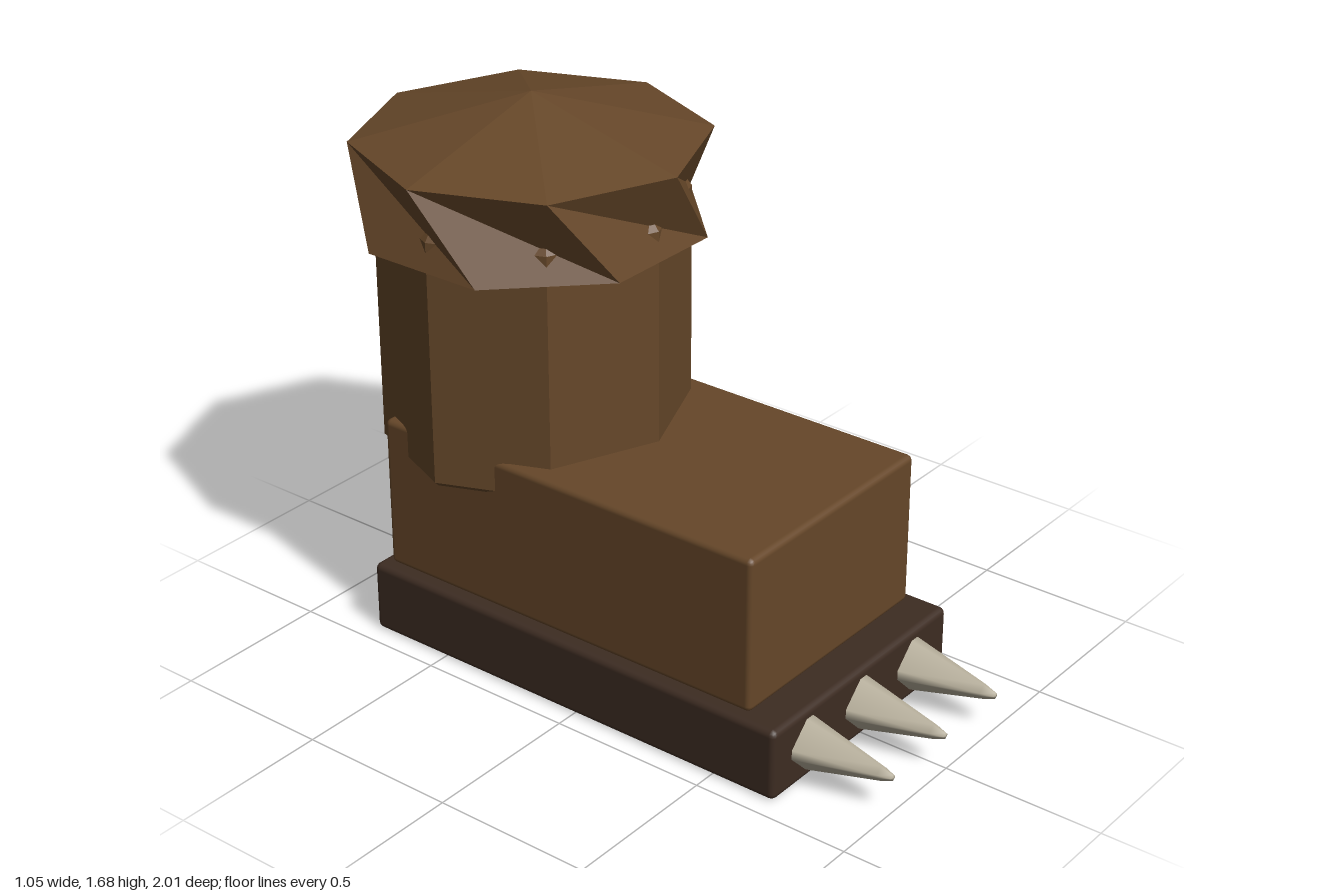
import * as THREE from 'three';
import { RoundedBoxGeometry } from 'three/addons/geometries/RoundedBoxGeometry.js';

export function createModel() {
  const model = new THREE.Group();
  const leather = new THREE.MeshStandardMaterial({ color: 0x664729 });
  leather.name = 'brown leather';
  const soleBrown = new THREE.MeshStandardMaterial({ color: 0x3d2c22 });
  soleBrown.name = 'dark sole';
  const bone = new THREE.MeshStandardMaterial({ color: 0xb8b09c });
  bone.name = 'pale spike';

  const add = (name, geometry, material, x, y, z) => {
    const mesh = new THREE.Mesh(geometry, material);
    mesh.name = name;
    mesh.position.set(x, y, z);
    model.add(mesh);
    return mesh;
  };
  // Faceted normals
  const flat = (g) => {
    const f = g.index ? g.toNonIndexed() : g;
    f.computeVertexNormals();
    return f;
  };
  const profile = (pts) => pts.map(([r, y]) => new THREE.Vector2(r, y));
  const CX = -0.01, CZ = -0.48;

  // Sole and foot: softly bevelled blocks
  add('sole', new RoundedBoxGeometry(0.855, 0.225, 1.495, 2, 0.02), soleBrown, CX, 0.1125, -0.03);
  add('foot', new RoundedBoxGeometry(0.78, 0.485, 1.345, 2, 0.018), leather, CX, 0.4675, -0.068);

  // Eight-sided shaft with small chamfers
  const shaft = profile([[0, 0.6], [0.445, 0.6], [0.46, 0.615], [0.46, 1.37], [0.445, 1.39], [0, 1.39]]);
  add('shaft', flat(new THREE.LatheGeometry(shaft, 8)), leather, CX, 0, CZ);

  // Cuff: two octagon rings twisted against each other, with shallow cones closing both ends
  const ring = (k, r, y, turn) => {
    const a = (k + turn) * Math.PI / 4;
    return [Math.sin(a) * r, y, Math.cos(a) * r];
  };
  const upper = (k) => ring(k, 0.525, 1.55, 0);
  const lower = (k) => ring(k, 0.52, 1.29, 0.5);
  const tris = [];
  for (let k = 0; k < 8; k++) {
    tris.push(
      upper(k), lower(k), lower(k + 1),
      upper(k), lower(k + 1), upper(k + 1),
      [0, 1.68, 0], upper(k), upper(k + 1),
      [0, 1.17, 0], lower(k + 1), lower(k),
    );
  }
  const cuff = new THREE.BufferGeometry();
  cuff.setAttribute('position', new THREE.Float32BufferAttribute(tris.flat(), 3));
  add('cuff', flat(cuff), leather, CX, 0, CZ);

  // Toe spikes: diamond section with clipped corners, blunt tip
  const spike = new THREE.LatheGeometry(
    profile([[0.09, 0], [0.084, 0.04], [0.024, 0.28], [0.01, 0.318], [0, 0.32]]), 8, -Math.PI / 8);
  const p = spike.attributes.position;
  for (let i = 0; i < p.count; i++) {
    const x = p.getX(i), z = p.getZ(i), r = Math.hypot(x, z);
    const a = Math.atan2(x, z);
    const axis = Math.round(a / (Math.PI / 2)) * Math.PI / 2;
    const b = axis + (a - axis) * 0.45; // pull corner pairs together
    p.setXYZ(i, Math.sin(b) * r, p.getY(i), Math.cos(b) * r);
  }
  spike.computeVertexNormals();
  for (const x of [-0.27, CX, 0.25]) {
    add('toeSpike', spike, bone, x, 0.113, 0.68).rotation.x = Math.PI / 2;
  }
  return model;
}
